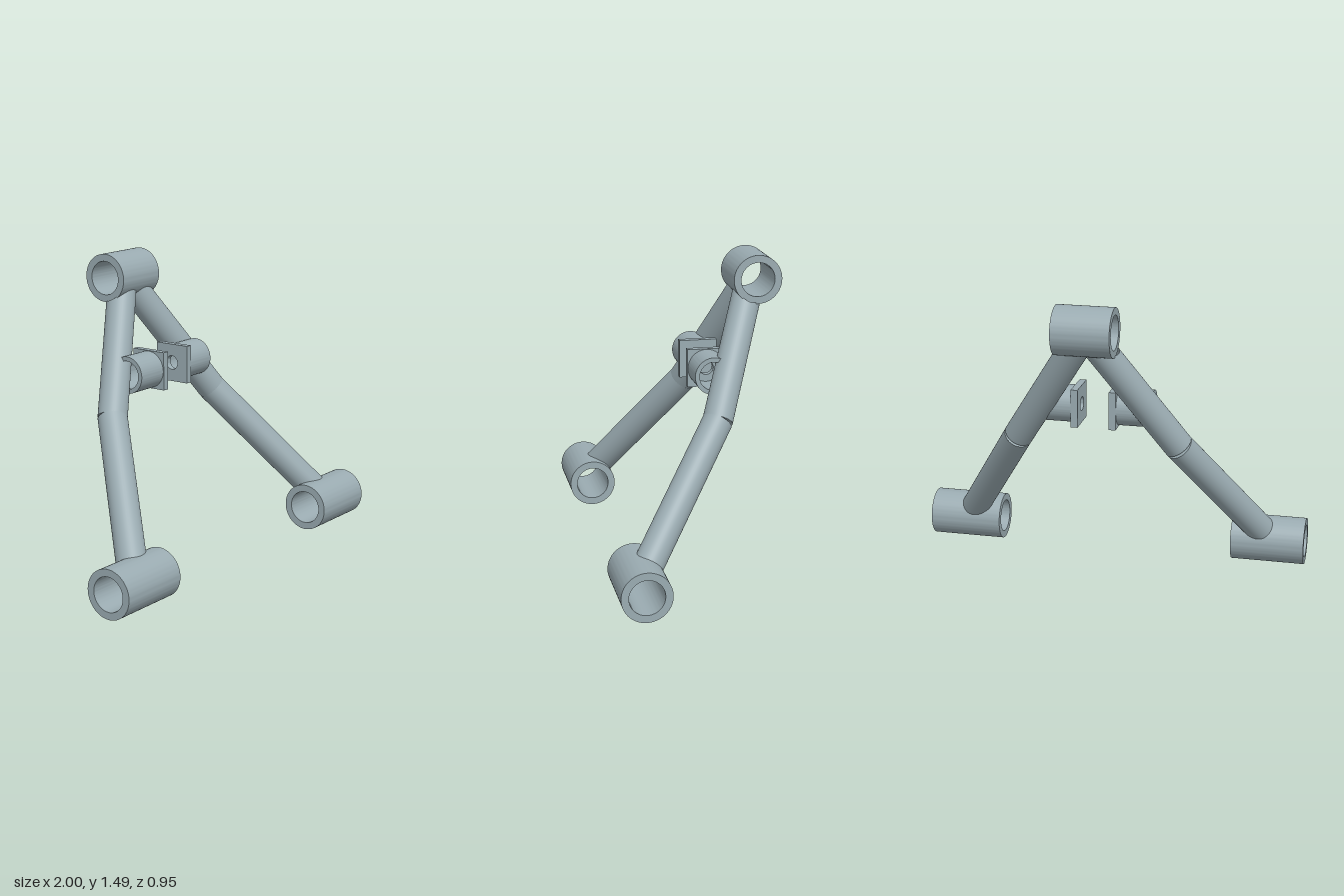
import * as THREE from 'three';
import { toCreasedNormals } from 'three/addons/utils/BufferGeometryUtils.js';

const V = (x, y, z) => new THREE.Vector3(x, y, z);
const material = new THREE.MeshStandardMaterial({ color: 0x9aabb1, side: THREE.DoubleSide });

function addMesh(parent, name, geometry) {
  const mesh = new THREE.Mesh(geometry, material);
  mesh.name = name;
  parent.add(mesh);
  return mesh;
}

// Extrudes a shape with a round bore along x, from x0 to x1
function boredAlongX(shape, bore, x0, x1) {
  shape.holes.push(new THREE.Path().absarc(0, 0, bore, 0, Math.PI * 2, true));
  const geo = new THREE.ExtrudeGeometry(shape, { depth: x1 - x0, bevelEnabled: false, curveSegments: 48 });
  geo.rotateY(Math.PI / 2).translate(x0, 0, 0);
  return toCreasedNormals(geo, 0.6);
}

const disc = (r) => new THREE.Shape().absarc(0, 0, r, 0, Math.PI * 2, false);

function square(h) {
  return new THREE.Shape([[-h, -h], [h, -h], [h, h], [-h, h]].map(([x, y]) => new THREE.Vector2(x, y)));
}

// Cut rules: distance along dir at which a line starting at a + offset meets the cut
const saddleCut = (center, radius, side) => (a, off, dir) => {
  const o = a.clone().add(off).sub(center);
  const A = dir.y ** 2 + dir.z ** 2;
  const B = o.y * dir.y + o.z * dir.z;
  const C = o.y ** 2 + o.z ** 2 - radius ** 2;
  return (-B + side * Math.sqrt(Math.max(0, B * B - A * C))) / A;
};

const squareCut = (point) => (a, off, dir) => point.clone().sub(a).dot(dir);

// Round tube from a to b, each end trimmed by its cut rule
function trimmedTube(a, b, radius, startCut, endCut) {
  const N = 40;
  const dir = b.clone().sub(a).normalize();
  const u = V(1, 0, 0).cross(dir).normalize();
  const v = dir.clone().cross(u);
  const pos = [], normals = [], index = [];
  for (let i = 0; i <= N; i++) {
    const t = (i / N) * Math.PI * 2;
    const n = u.clone().multiplyScalar(Math.cos(t)).addScaledVector(v, Math.sin(t));
    const off = n.clone().multiplyScalar(radius);
    for (const cut of [startCut, endCut]) {
      pos.push(...a.clone().add(off).addScaledVector(dir, cut(a, off, dir)).toArray());
      normals.push(...n.toArray());
    }
    if (i < N) {
      const k = i * 2;
      index.push(k, k + 2, k + 3, k, k + 3, k + 1);
    }
  }
  const geo = new THREE.BufferGeometry();
  geo.setAttribute('position', new THREE.Float32BufferAttribute(pos, 3));
  geo.setAttribute('normal', new THREE.Float32BufferAttribute(normals, 3));
  geo.setIndex(index);
  return geo;
}

export function createModel() {
  const model = new THREE.Group();
  model.name = 'controlArm';
  const R = 0.12, bore = 0.084, tubeR = 0.073;
  const top = V(0, 1.368, -0.357);

  // Sleeve at the apex
  addMesh(model, 'topSleeve', boredAlongX(disc(R), bore, -0.142, 0.142)).position.copy(top);

  for (const s of [1, -1]) {
    const side = new THREE.Group();
    side.name = s > 0 ? 'leftSide' : 'rightSide';
    model.add(side);
    const span = (x0, x1) => (s > 0 ? [x0, x1] : [-x1, -x0]);

    // Sleeve at the foot
    const foot = V(0.814 * s, 0.12, 0.357);
    addMesh(side, 'footSleeve', boredAlongX(disc(R), bore, ...span(0.622, 1)))
      .position.set(0, foot.y, foot.z);

    // Bent arm: two square-ended tubes meeting at the knee, saddled onto the sleeves
    const knee = V(0.406 * s, 0.747, -0.098);
    const kneeCut = squareCut(knee);
    addMesh(side, 'lowerArm', trimmedTube(foot, knee, tubeR, saddleCut(foot, R - 0.006, 1), kneeCut));
    addMesh(side, 'upperArm', trimmedTube(knee, top, tubeR, kneeCut, saddleCut(top, R - 0.006, -1)));

    // End caps in the narrow gap behind the knee
    for (const [name, inner] of [['lowerArmCap', foot], ['upperArmCap', top]]) {
      const cap = addMesh(side, name, new THREE.CircleGeometry(tubeR, 40));
      cap.position.copy(knee);
      cap.lookAt(knee.clone().multiplyScalar(2).sub(inner));
    }

    // Shock mount: drilled square plate with an open cup reaching the arm
    const mount = new THREE.Group();
    mount.name = 'shockMount';
    mount.position.set(0, 0.933, -0.107);
    side.add(mount);
    addMesh(mount, 'mountPlate', boredAlongX(square(0.095), 0.035, ...span(0.078, 0.112)));
    addMesh(mount, 'mountCup', boredAlongX(disc(0.092), 0.07, ...span(0.112, 0.282)));
  }
  return model;
}
